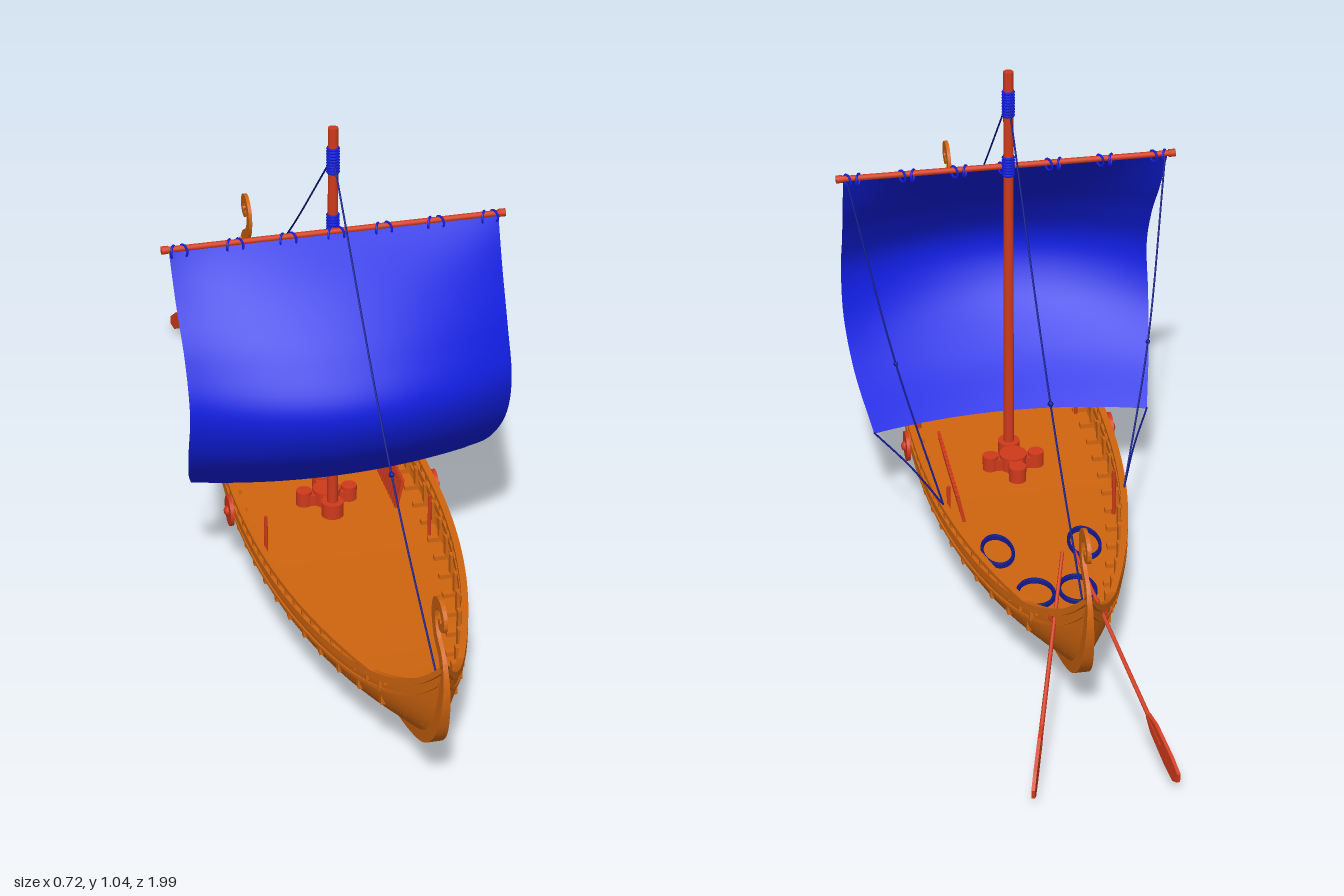
import * as THREE from 'three';
import { toCreasedNormals } from 'three/addons/utils/BufferGeometryUtils.js';

const V = (x, y, z) => new THREE.Vector3(x, y, z);
const mat = (color) => new THREE.MeshStandardMaterial({ color, side: THREE.DoubleSide });
const ZC = 0.09, L = 0.895; // hull centre and half length

// Hull rules along t = -1 (stern) .. 1 (bow)
const keelY = (t) => 0.012 + 0.295 * (1 - Math.pow(Math.max(0, 1 - t * t), 0.27));
const sheerY = (t) => 0.178 + 0.03 * t * t + 0.14 * Math.pow(t, 8);
const beam = (t) => 0.212 * (1 - Math.pow(Math.abs(t), 2.2));
const deckY = (t) => 0.125 + 0.05 * Math.pow(t, 4);
const bulge = (t, v) => beam(t) * Math.pow(1 - Math.pow(1 - v, 2.8), 0.7 + 0.4 * t * t);
const sideX = (t, y) => {
  const k = keelY(t);
  return bulge(t, THREE.MathUtils.clamp((y - k) / (sheerY(t) - k), 0, 1));
};
const toT = (z) => (z - ZC) / L;

// Skin over rows of points
function loft(rows, closed = false) {
  const m = rows[0].length, pos = [], idx = [];
  rows.forEach((r) => r.forEach((p) => pos.push(p.x, p.y, p.z)));
  for (let i = 0; i < rows.length - 1; i++) {
    for (let j = 0; j < (closed ? m : m - 1); j++) {
      const a = i * m + j, b = i * m + ((j + 1) % m);
      idx.push(a, b, a + m, b, b + m, a + m);
    }
  }
  const g = new THREE.BufferGeometry();
  g.setAttribute('position', new THREE.Float32BufferAttribute(pos, 3));
  g.setIndex(idx);
  g.computeVertexNormals();
  return g;
}
const range = (n, f) => Array.from({ length: n + 1 }, (_, i) => f(i / n));

export function createModel() {
  const model = new THREE.Group();
  const wood = mat(0xd0650f), red = mat(0xcf3a1b), blue = mat(0x101ee0), rope = mat(0x10188c);

  const add = (name, geo, material, x = 0, y = 0, z = 0, parent = model) => {
    const m = new THREE.Mesh(geo, material);
    m.name = name;
    m.position.set(x, y, z);
    parent.add(m);
    return m;
  };
  const box = (name, w, h, d, material, x, y, z) => add(name, new THREE.BoxGeometry(w, h, d), material, x, y, z);
  const line = (name, pts, r = 0.002, material = rope) =>
    add(name, new THREE.TubeGeometry(new THREE.CatmullRomCurve3(pts), 24, r, 6), material);

  // Hull shell
  add('hull', loft(range(80, (u) => {
    const t = Math.sin((u - 0.5) * Math.PI);
    return range(28, (q) => {
      const s = q * 2 - 1, v = Math.pow(Math.abs(s), 1.6), k = keelY(t);
      return V(Math.sign(s) * bulge(t, v), k + (sheerY(t) - k) * v, ZC + L * t);
    });
  })), wood);

  // Deck
  add('deck', loft(range(40, (u) => {
    const t = (u * 2 - 1) * 0.95, x = sideX(t, deckY(t));
    return [V(-x, deckY(t), ZC + L * t), V(x, deckY(t), ZC + L * t)];
  })), wood);

  // Keel, stems and scrolls as one swept bar
  const half = [[.947, .43], [.952, .417], [.973, .428], [.968, .449], [.941, .46], [.914, .444], [.909, .412],
    [.925, .38], [.963, .353], [.98, .322], [.984, .28], [.974, .23], [.95, .177], [.895, .126], [.8, .085],
    [.66, .051], [.45, .029], [.25, .019], [ZC, .016]].map(([z, y]) => V(0, y, z));
  const spine = new THREE.CatmullRomCurve3([...half, ...half.slice(0, -1).reverse().map((p) => V(0, p.y, 2 * ZC - p.z))]);
  const bar = range(240, (u) => {
    const p = spine.getPoint(u), d = spine.getTangent(u), e = Math.abs(2 * u - 1);
    const w = Math.max(0.004, 0.021 - 0.048 * p.y), h = 0.015 - 0.009 * e * e * e;
    const n = V(0, d.z, -d.y).normalize().multiplyScalar(h);
    return [[1, 1], [-1, 1], [-1, -1], [1, -1]].map(([a, b]) => V(a * w, p.y + b * n.y, p.z + b * n.z));
  });
  add('keelAndStems', toCreasedNormals(loft(bar, true), 0.7), wood);

  // Long strips that follow the hull side: wale, strake and top rail
  const strip = (name, side, reach, inset, out, low, high, yAt) => {
    const rows = range(70, (u) => {
      const t = Math.sin((u - 0.5) * Math.PI) * reach, y = yAt(t), x = sideX(t, y);
      return [[-inset, low], [out, low], [out, high], [-inset, high]]
        .map(([a, b]) => V(side * Math.max(0, x + a), y + b, ZC + L * t));
    });
    add(name, toCreasedNormals(loft(rows, true), 0.7), wood);
  };
  const railY = (t) => 0.2 + 0.02 * t * t;

  for (const s of [-1, 1]) {
    strip('wale', s, 0.995, 0.008, 0.006, -0.014, 0.002, sheerY);
    strip('strake', s, 0.985, 0.004, 0.004, -0.003, 0.003, (t) => sheerY(t) - 0.034);
    strip('topRail', s, 0.83, 0.008, 0.006, -0.003, 0.006, railY);

    // Rail posts
    for (let i = 0; i <= 36; i++) {
      const z = -0.63 + i * 0.04, t = toT(z);
      box('railPost', 0.009, 0.03, 0.01, wood, s * (beam(t) - 0.001), railY(t) - 0.012, z);
    }

    // Inner knees with a foot on the deck
    for (let i = 0; i <= 20; i++) {
      const z = -0.6 + i * 0.07, t = toT(z), y = deckY(t), h = sheerY(t) - y;
      const x = sideX(t, y + 0.01);
      box('knee', 0.012, h, 0.014, wood, s * (x - 0.004), y + h / 2, z);
      box('kneeFoot', 0.034, 0.01, 0.014, wood, s * (x - 0.016), y + 0.005, z);
    }

    // Round plate amidships
    const plate = add('sidePlate', new THREE.CylinderGeometry(0.033, 0.033, 0.008, 28), red, s * 0.225, 0.168, ZC);
    plate.rotation.z = Math.PI / 2;
    const hub = add('plateHub', new THREE.SphereGeometry(0.011, 16, 10), red, s * 0.229, 0.168, ZC);
    hub.scale.x = 0.8;

    // Belaying pins
    for (const [x, z] of [[0.177, 0.23], [0.177, -0.19]]) {
      add('pin', new THREE.CylinderGeometry(0.004, 0.004, 0.11, 8), red, s * x, 0.178, z);
    }

    // Steering oars with flat upright blades
    const oar = new THREE.Group();
    oar.name = 'oar';
    const grip = V(s * 0.012, 0.315, -0.594), tip = V(s * 0.142, 0.025, -0.988), len = grip.distanceTo(tip);
    const shaft = add('oarShaft', new THREE.CylinderGeometry(0.0035, 0.005, len - 0.08, 8), red, 0, 0, (len - 0.08) / 2, oar);
    shaft.rotation.x = -Math.PI / 2;
    const outline = new THREE.Shape([[0, -.006], [.03, -.017], [.1, -.02], [.135, -.016], [.145, 0],
      [.135, .016], [.1, .02], [.03, .017], [0, .006]].map(([a, b]) => new THREE.Vector2(a, b)));
    const blade = add('oarBlade', new THREE.ExtrudeGeometry(outline, { depth: 0.007, bevelEnabled: false }),
      red, 0.0035, 0, len - 0.145, oar);
    blade.rotation.y = -Math.PI / 2;
    oar.position.copy(grip);
    oar.lookAt(tip);
    model.add(oar);
    add('oarHolder', new THREE.TorusGeometry(0.009, 0.004, 8, 16), red, s * 0.047, 0.237, -0.7);

    // Braces, sheets and deck coils
    line('brace', [V(s * 0.338, 0.815, 0.105), V(s * 0.268, 0.476, -0.08), V(s * 0.192, 0.205, -0.22)]);
    add('braceKnot', new THREE.SphereGeometry(0.005, 8, 6), rope, s * 0.268, 0.476, -0.08);
    line('sheet', [V(s * 0.3, 0.23, 0.055), V(s * 0.24, 0.224, -0.09), V(s * 0.192, 0.207, -0.22)]);
    for (const [x, z, rx, rz] of [[0.043, -0.475, 0.037, 0.047], [0.092, -0.3, 0.032, 0.054]]) {
      for (let k = 0; k < 2; k++) {
        const coil = add('ropeCoil', new THREE.TorusGeometry(1, 0.1, 6, 32), rope, s * x, deckY(toT(z)) + 0.004 + k * 0.005, z);
        coil.rotation.x = Math.PI / 2;
        coil.scale.set(rx, rz, 0.035);
      }
    }
  }

  // Mast with rope wraps
  add('mast', new THREE.CylinderGeometry(0.0105, 0.0115, 0.925, 20), red, 0, 0.5825, ZC);
  const wrap = (y0, n) => {
    for (let i = 0; i < n; i++) {
      add('mastWrap', new THREE.TorusGeometry(0.0105, 0.0035, 6, 20), blue, 0, y0 + i * 0.0065, ZC).rotation.x = Math.PI / 2;
    }
  };
  wrap(0.947, 9);
  wrap(0.81, 7);

  // Lobed mast step
  box('stepBeam', 0.03, 0.03, 0.13, red, 0, 0.14, 0.035);
  box('stepCross', 0.12, 0.026, 0.028, red, 0, 0.138, 0.035);
  for (const [x, z, r] of [[0, 0.035, 0.03], [0.05, 0.035, 0.017], [-0.05, 0.035, 0.017], [0, -0.02, 0.019], [0, 0.09, 0.024]]) {
    add('stepLobe', new THREE.CylinderGeometry(r, r, 0.034, 20), red, x, 0.142, z);
  }

  // Leaning row of slats by the left wall
  for (let i = 0; i < 15; i++) {
    box('slat', 0.007, 0.07, 0.013, red, 0.147, 0.158, -0.16 + i * 0.018).rotation.z = -0.2;
  }
  box('slatRail', 0.006, 0.009, 0.27, red, 0.152, 0.18, -0.035);

  // Yard and its lashings
  const yard = add('yard', new THREE.CylinderGeometry(0.0065, 0.0065, 0.72, 14), red, 0, 0.82, 0.108);
  yard.rotation.z = Math.PI / 2;
  for (const s of [-1, 1]) {
    add('yardTip', new THREE.CylinderGeometry(0.0085, 0.0085, 0.014, 14), red, s * 0.353, 0.82, 0.108).rotation.z = Math.PI / 2;
  }
  for (const x of [-0.325, -0.21, -0.1, 0, 0.1, 0.21, 0.325]) {
    for (const a of [-0.45, 0.45]) {
      const tie = add('lashing', new THREE.TorusGeometry(0.0125, 0.0025, 6, 18), blue, x + a * 0.025, 0.815, 0.109);
      tie.rotation.y = Math.PI / 2 + a;
    }
  }

  // Sail: rows of height, centre depth, edge depth, half width
  const rows = [[.82, .11, .11, .345], [.72, .215, .16, .342], [.62, .30, .222, .338], [.52, .353, .262, .338],
    [.42, .32, .237, .338], [.32, .225, .165, .326], [.228, .10, .055, .30]];
  const centre = new THREE.CatmullRomCurve3(rows.map((r) => V(r[3], r[0], r[1])));
  const edge = new THREE.CatmullRomCurve3(rows.map((r) => V(r[3], r[0], r[2])));
  add('sail', loft(range(36, (v) => {
    const c = centre.getPoint(v), e = edge.getPoint(v);
    return range(28, (q) => {
      const u = q * 2 - 1;
      return V(u * e.x, THREE.MathUtils.lerp(c.y, e.y, u * u), THREE.MathUtils.lerp(c.z, e.z, u * u));
    });
  })), blue);

  // Fore and back stays with knots
  for (const [mid, end] of [[V(0, 0.522, 0.577), V(0, 0.283, 0.93)], [V(0, 0.537, -0.395), V(0, 0.275, -0.765)]]) {
    line('stay', [V(0, 0.98, ZC), mid, end]);
    add('stayKnot', new THREE.SphereGeometry(0.006, 8, 6), rope, 0, mid.y, mid.z);
  }
  return model;
}
